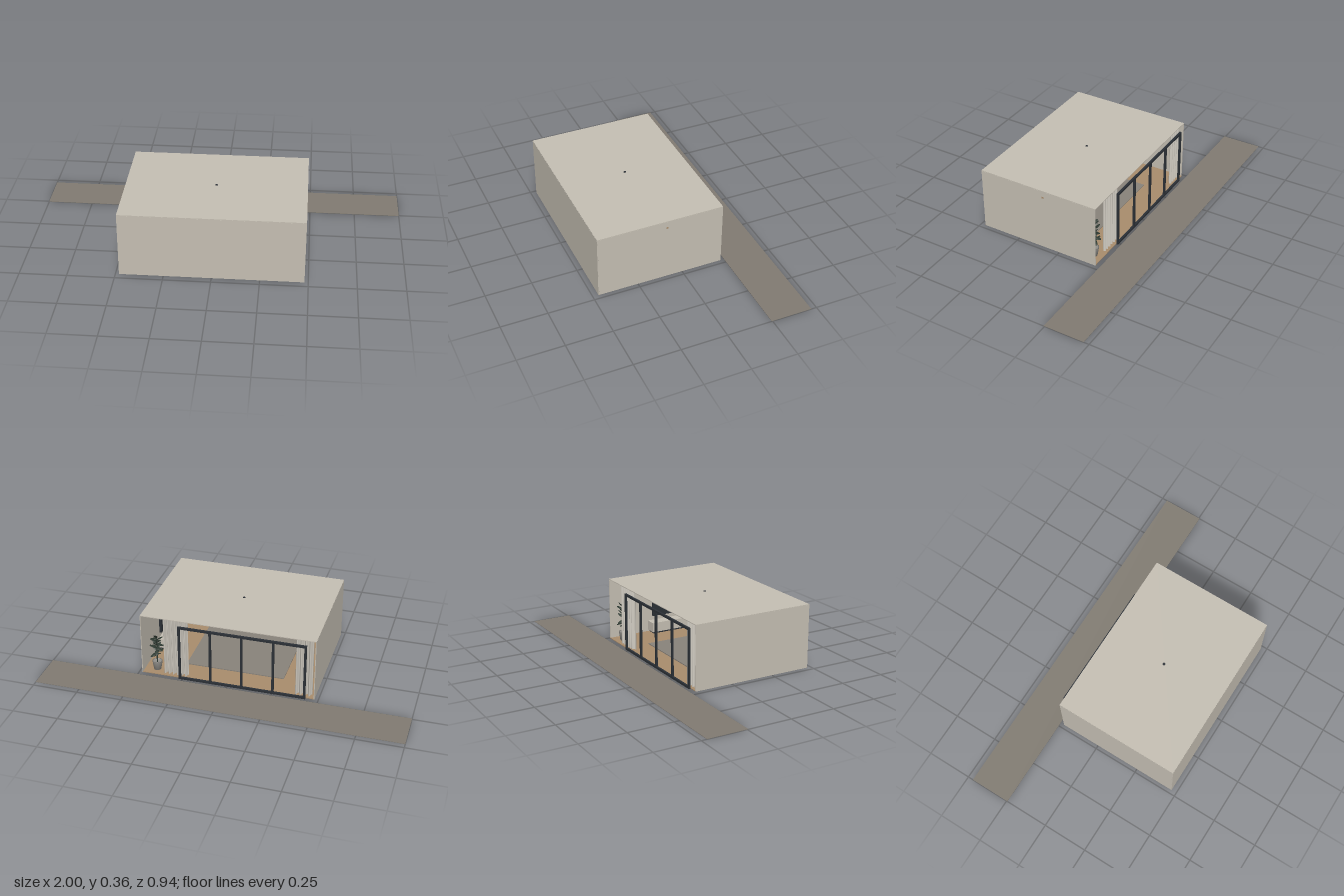
import * as THREE from 'three';

const paint = (name, color, side = THREE.FrontSide) => {
  const m = new THREE.MeshStandardMaterial({ color, side });
  m.name = name;
  return m;
};

export function createModel() {
  const model = new THREE.Group();
  model.name = 'gardenRoom';
  const plaster = paint('plaster', 0xc4beb2);
  const paving = paint('paving', 0x807a71);
  const wood = paint('wood', 0xa88c6c);
  const rugGrey = paint('rugGrey', 0x88827a);
  const frameDark = paint('frameDark', 0x2b3036);
  const linen = paint('linen', 0xcfcac0, THREE.DoubleSide);
  const leafGreen = paint('leafGreen', 0x2f3b33, THREE.DoubleSide);
  const ceramic = paint('ceramic', 0x8f8d88, THREE.DoubleSide);

  const add = (name, geometry, material, x, y, z, parent = model) => {
    const mesh = new THREE.Mesh(geometry, material);
    mesh.name = name;
    mesh.position.set(x, y, z);
    parent.add(mesh);
    return mesh;
  };
  // box given by its lowest and highest corners
  const box = (name, mat, [x0, y0, z0], [x1, y1, z1], parent = model) =>
    add(name, new THREE.BoxGeometry(x1 - x0, y1 - y0, z1 - z0), mat,
      (x0 + x1) / 2, (y0 + y1) / 2, (z0 + z1) / 2, parent);
  const group = (name) => {
    const g = new THREE.Group();
    g.name = name;
    model.add(g);
    return g;
  };

  // thin shell, open at the back
  const t = 0.004, X = 0.48, Y0 = 0.005, Y1 = 0.36, ZB = -0.222, ZF = 0.47;
  box('floor', wood, [-X, Y0, ZB], [X, Y0 + t, ZF]);
  box('roof', plaster, [-X, Y1 - t, ZB], [X, Y1, ZF]);
  box('frontWall', plaster, [-X, Y0, ZF - t], [X, Y1 - t, ZF + 0.0005]);
  for (const s of [-1, 1]) {
    const wall = box('sideWall', plaster, [-t / 2, Y0, ZB], [t / 2, Y1 - t, ZF - t]);
    wall.position.x = s * (X - t / 2 + 0.0005);
  }

  // paved strip behind the room
  box('terrace', paving, [-1, 0, -0.47], [1, 0.002, -0.245]);

  // four-panel sliding door frame
  const door = group('doorFrame');
  const L = -0.432, R = 0.268, bar = 0.012;
  for (const y of [Y0, 0.33 - bar]) box('rail', frameDark, [L, y, -0.234], [R, y + bar, -0.2225], door);
  for (let i = 0; i <= 4; i++) {
    const x = L + bar / 2 + (R - L - bar) * i / 4;
    box('stile', frameDark, [x - bar / 2, Y0, -0.2335], [x + bar / 2, 0.33, -0.223], door);
  }

  // pleated curtains
  const curtain = (x0, x1, folds) => {
    const g = new THREE.PlaneGeometry(x1 - x0, 0.345, folds * 8, 1);
    const p = g.attributes.position;
    for (let i = 0; i < p.count; i++) {
      const u = p.getX(i) / (x1 - x0) + 0.5;
      p.setZ(i, 0.012 * Math.sin(u * folds * Math.PI * 2));
    }
    g.computeVertexNormals();
    add('curtain', g, linen, (x0 + x1) / 2, 0.183, -0.198);
  };
  curtain(0.22, 0.36, 6);
  curtain(-0.465, -0.37, 4);

  // rug
  box('rug', rugGrey, [-0.28, 0.009, -0.085], [0.27, 0.014, 0.33]);

  // low cabinet with a dark screen on the left wall
  box('cabinet', plaster, [0.41, 0.02, 0.02], [0.472, 0.075, 0.3]);
  box('cabinetPlinth', frameDark, [0.42, 0.009, 0.03], [0.47, 0.02, 0.29]);
  box('screen', frameDark, [0.462, 0.1, 0.05], [0.475, 0.21, 0.27]);
  // wall bracket showing through the left wall
  box('wallBracket', wood, [0.455, 0.315, 0.084], [0.4815, 0.325, 0.096]);

  // ceiling lamp with its fixing through the roof
  add('lampRod', new THREE.CylinderGeometry(0.007, 0.007, 0.05, 16), frameDark, 0, 0.337, 0.12);
  add('lampShade', new THREE.CylinderGeometry(0.02, 0.035, 0.02, 24), frameDark, 0, 0.305, 0.12);

  // potted plant in the back left corner
  const plant = group('plant');
  plant.position.set(0.41, 0.009, -0.17);
  const pot = [[0, 0], [0.02, 0], [0.028, 0.05], [0.024, 0.05], [0.023, 0.042], [0, 0.042]];
  add('pot', new THREE.LatheGeometry(pot.map(([r, y]) => new THREE.Vector2(r, y)), 20),
    ceramic, 0, 0, 0, plant);
  add('stem', new THREE.CylinderGeometry(0.003, 0.004, 0.15, 8), leafGreen, 0, 0.115, 0, plant);
  const leaf = new THREE.SphereGeometry(1, 10, 6);
  leaf.scale(0.021, 0.003, 0.011);
  leaf.translate(0.022, 0, 0);
  for (let i = 0; i < 20; i++) {
    const blade = add('leaf', leaf, leafGreen, 0, 0.085 + i * 0.0058, 0, plant);
    blade.rotation.set(0, i * 2.4, i % 3 === 0 ? -0.35 : 0.45 + (i % 4) * 0.12);
  }
  return model;
}
